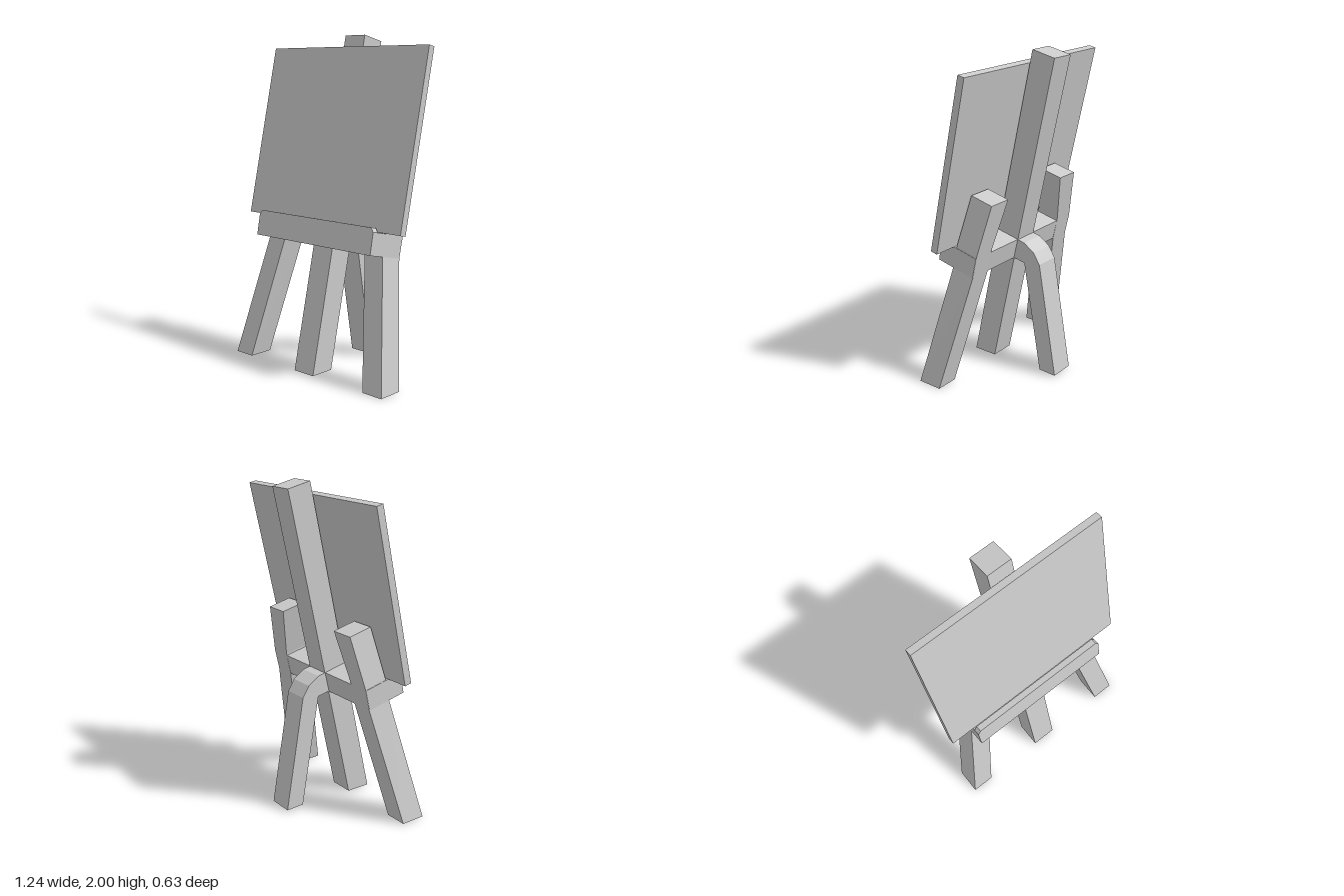
import * as THREE from 'three';

const LEAN = 0.225; // backward run in z per unit of height
const FRONT = 0.315; // z of the front face of the legs at the floor
const DEPTH = 0.155;

export function createModel() {
  const model = new THREE.Group();
  const material = new THREE.MeshStandardMaterial({ color: 0xcccccc, flatShading: true });

  const add = (name, geometry) => {
    geometry.computeVertexNormals();
    const mesh = new THREE.Mesh(geometry, material);
    mesh.name = name;
    model.add(mesh);
  };
  const extrude = (points, depth) =>
    new THREE.ExtrudeGeometry(
      new THREE.Shape(points.map(([a, b]) => new THREE.Vector2(a, b))),
      { depth, bevelEnabled: false }
    );
  // Side profile of [z, y] points, extruded across x
  const across = (profile, width) =>
    extrude(profile, width).translate(0, 0, -width / 2).rotateY(-Math.PI / 2);

  // Leaning centre post
  add('centrePost', across([[0.315, 0], [-0.135, 2], [-0.285, 1.966], [0.16, 0]], 0.156));

  // Splayed side legs, upright where they meet the crossbar, cut square at the top
  const outline = [
    [0.47, 0], [0.61, 0], [0.468, 0.755], [0.468, 0.89],
    [0.41, 1.2], [0.26, 1.2], [0.333, 0.89], [0.333, 0.755],
  ];
  for (const side of [1, -1]) {
    const leg = extrude(outline.map(([x, y]) => [x * side, y]), DEPTH);
    const p = leg.attributes.position;
    for (let i = 0; i < p.count; i++) {
      const back = DEPTH - p.getZ(i);
      const y = p.getY(i) > 0 ? p.getY(i) - back * LEAN : 0;
      p.setXYZ(i, p.getX(i), y, FRONT - LEAN * y - back);
    }
    add(side > 0 ? 'leftLeg' : 'rightLeg', leg);
  }

  // Crossbar that runs forward as the tray
  add('crossbarTray', across(
    [[0.255, 0.775], [0.23, 0.905], [0.187, 0.895], [-0.03, 0.847], [0, 0.72]], 0.94));

  // Tray lip with trimmed upper corners
  const lip = across([[0.23, 0.905], [0.225, 0.928], [0.185, 0.919], [0.19, 0.896]], 0.94);
  const lp = lip.attributes.position;
  for (let i = 0; i < lp.count; i++) {
    if (lp.getY(i) > 0.91) lp.setX(i, Math.sign(lp.getX(i)) * 0.45);
  }
  add('trayLip', lip);

  // Board
  add('board', across([[0.176, 0.895], [-0.058, 1.93], [-0.102, 1.92], [0.132, 0.885]], 1.24));

  // Bent rear leg
  add('rearLeg', across([
    [0.02, 0.725], [-0.01, 0.85], [-0.08, 0.835], [-0.15, 0.787], [-0.193, 0.72],
    [-0.315, 0.01], [-0.2, 0.015], [-0.08, 0.706],
  ], 0.156));

  return model;
}
